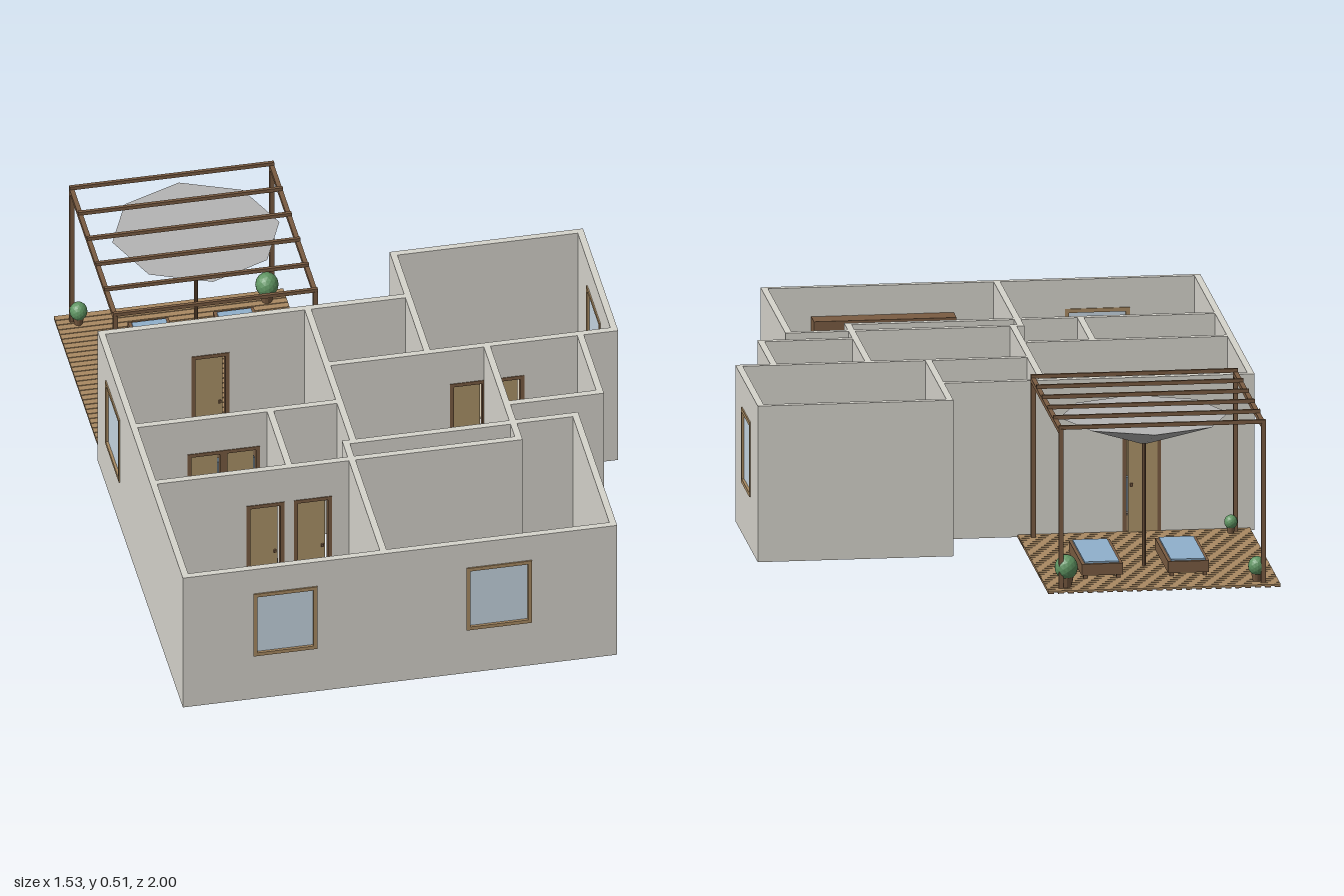
import * as THREE from 'three';

const H = 0.48, T = 0.02; // wall height and thickness
const DOOR_H = 0.345;

const mat = (color, side = THREE.FrontSide) =>
  new THREE.MeshStandardMaterial({ color, side, flatShading: true });
const M = {
  wall: mat(0xd6d4cc), wood: mat(0xb39573), tile: mat(0xb8b8b8), stone: mat(0xcfcabd),
  dark: mat(0x7a5c42), frame: mat(0xa88a62), door: mat(0xbda274), glass: mat(0xc6d6e2),
  white: mat(0xe4e4e4), grey: mat(0xcccccc), canopy: mat(0xb4b4b4), blue: mat(0x8fb0cc),
  rug: mat(0x9a9a9c), blanket: mat(0xd0c6b2), leaf: mat(0x5f9462), deck: mat(0xa98962),
};

function add(parent, name, geo, material, x = 0, y = 0, z = 0) {
  const m = new THREE.Mesh(geo, material);
  m.name = name;
  m.position.set(x, y, z);
  parent.add(m);
  return m;
}

// Box given by its minimum and maximum on each axis
function box(parent, name, material, x0, x1, y0, y1, z0, z1) {
  return add(parent, name, new THREE.BoxGeometry(x1 - x0, y1 - y0, z1 - z0), material,
    (x0 + x1) / 2, (y0 + y1) / 2, (z0 + z1) / 2);
}

function group(parent, name, x = 0, y = 0, z = 0) {
  const g = new THREE.Group();
  g.name = name;
  g.position.set(x, y, z);
  parent.add(g);
  return g;
}

// Wall along x or z, from a to b at the given centre line, with doors and windows [start, end]
function wall(parent, axis, at, a, b, doors = [], windows = []) {
  const g = group(parent, 'wall');
  // Along z the wall is drawn mirrored, then turned a quarter
  const s = axis === 'x' ? 1 : -1;
  const span = (p, q) => [Math.min(s * p, s * q), Math.max(s * p, s * q)];
  const [u0, u1] = span(a, b);
  const pts = [[u0, 0]];
  doors.map(d => span(...d)).sort((p, q) => p[0] - q[0]).forEach(([p, q]) =>
    pts.push([p, 0], [p, DOOR_H], [q, DOOR_H], [q, 0]));
  pts.push([u1, 0], [u1, H], [u0, H]);
  const shape = new THREE.Shape(pts.map(p => new THREE.Vector2(...p)));
  for (const w of windows) {
    const [p, q] = span(...w);
    shape.holes.push(new THREE.Path([[p, 0.16], [p, 0.39], [q, 0.39], [q, 0.16]]
      .map(v => new THREE.Vector2(...v))));
    const win = group(g, 'window');
    const f = 0.012, d = T / 2 + 0.004;
    box(win, 'windowPane', M.glass, p, q, 0.16, 0.39, -0.006, 0.006);
    box(win, 'windowSill', M.frame, p, q, 0.16, 0.16 + f, -d, d);
    box(win, 'windowHead', M.frame, p, q, 0.39 - f, 0.39, -d, d);
    box(win, 'windowJamb', M.frame, p, p + f, 0.16, 0.39, -d, d);
    box(win, 'windowJamb', M.frame, q - f, q, 0.16, 0.39, -d, d);
  }
  const geo = new THREE.ExtrudeGeometry(shape, { depth: T, bevelEnabled: false });
  geo.translate(0, 0, -T / 2);
  add(g, 'wallPanel', geo, M.wall);
  for (const d of doors) {
    const [p, q] = span(...d);
    const door = group(g, 'door');
    const k = T / 2 + 0.002;
    box(door, 'doorJamb', M.dark, p - 0.008, p + 0.004, 0, DOOR_H + 0.012, -k, k);
    box(door, 'doorJamb', M.dark, q - 0.004, q + 0.008, 0, DOOR_H + 0.012, -k, k);
    box(door, 'doorHead', M.dark, p - 0.008, q + 0.008, DOOR_H, DOOR_H + 0.012, -k, k);
    // Leaf standing ajar
    const leaf = group(door, 'doorLeaf', p + 0.004, 0, -T / 2);
    leaf.rotation.y = 0.2;
    box(leaf, 'leafPanel', M.door, 0, q - p - 0.008, 0.005, DOOR_H, -0.003, 0.003);
    box(leaf, 'handle', M.dark, q - p - 0.022, q - p - 0.014, 0.15, 0.16, -0.008, 0.008);
  }
  if (axis === 'x') g.position.z = at;
  else { g.rotation.y = Math.PI / 2; g.position.x = at; }
}

// Bed with its head towards +z, and two nightstands
function bed(parent, x, z) {
  const g = group(parent, 'bed', x, 0, z);
  box(g, 'bedFrame', M.dark, -0.142, 0.142, 0.005, 0.06, -0.172, 0.165);
  box(g, 'headboard', M.dark, -0.142, 0.142, 0.005, 0.15, 0.16, 0.173);
  box(g, 'mattress', M.white, -0.13, 0.13, 0.06, 0.09, -0.145, 0.16);
  box(g, 'blanket', M.blanket, -0.132, 0.132, 0.06, 0.095, -0.15, 0.05);
  for (const s of [-1, 1]) {
    box(g, 'pillow', M.white, s * 0.058 - 0.043, s * 0.058 + 0.043, 0.09, 0.105, 0.095, 0.115);
    box(g, 'nightstand', M.dark, s * 0.176 - 0.033, s * 0.176 + 0.033, 0.005, 0.08, 0.052, 0.12);
  }
}

function bathroom(parent, tx, tz, sx, sz) {
  const g = group(parent, 'toilet', tx, 0, tz);
  add(g, 'pedestal', new THREE.CylinderGeometry(0.028, 0.02, 0.05, 16), M.grey, 0, 0.03, 0);
  add(g, 'bowl', new THREE.CylinderGeometry(0.033, 0.028, 0.02, 20), M.grey, 0, 0.065, 0).scale.z = 1.15;
  box(g, 'tank', M.grey, -0.03, 0.03, 0.005, 0.11, 0.034, 0.056);
  const s = group(parent, 'washbasin', sx, 0, sz);
  box(s, 'basinCabinet', M.grey, -0.041, 0.041, 0.005, 0.12, -0.036, 0.036);
  add(s, 'tap', new THREE.CylinderGeometry(0.004, 0.004, 0.03, 8), M.rug, 0, 0.135, 0.015);
}

function plant(parent, x, z, r) {
  const g = group(parent, 'plant', x, 0.008, z);
  add(g, 'pot', new THREE.CylinderGeometry(r * 0.65, r * 0.45, r, 12), M.dark, 0, r / 2, 0);
  add(g, 'foliage', new THREE.IcosahedronGeometry(r, 2), M.leaf, 0, r * 1.75, 0).scale.y = 1.1;
}

export function createModel() {
  const root = new THREE.Group();
  root.name = 'house';

  // Floors: material, x0, x1, z0, z1
  const floors = group(root, 'floors');
  [[M.wood, -0.755, -0.127, -0.265, 0.215], [M.wood, -0.127, 0.18, -0.265, 0.025],
   [M.wood, 0.18, 0.75, -0.48, 0.025], [M.wood, -0.127, 0.36, 0.025, 0.42],
   [M.tile, 0.36, 0.645, 0.025, 0.325], [M.tile, -0.755, -0.34, 0.215, 0.505],
   [M.wood, -0.755, -0.15, 0.505, 0.985], [M.stone, -0.15, 0.55, 0.42, 0.985],
  ].forEach(([m, x0, x1, z0, z1]) => box(floors, 'floor', m, x0, x1, 0, 0.006, z0, z1));

  // Walls: axis, centre line, start, end, doors, windows
  const walls = group(root, 'walls');
  [['x', -0.265, -0.765, 0.18, [[-0.475, -0.375]]],
   ['x', 0.215, -0.765, -0.12, [[-0.585, -0.49], [-0.475, -0.38]]],
   ['x', 0.505, -0.765, -0.145, [[-0.465, -0.365], [-0.32, -0.22]]],
   ['x', 0.985, -0.765, 0.56, [], [[-0.55, -0.355], [0.1, 0.3]]],
   ['x', 0.422, -0.16, 0.56, [[-0.05, 0.05]]],
   ['x', 0.505, -0.145, 0.37],
   ['x', 0.025, -0.135, 0.76, [[0.255, 0.35], [0.37, 0.465]]],
   ['x', 0.325, 0.35, 0.655, [[0.468, 0.57]]],
   ['x', -0.48, 0.17, 0.76],
   ['z', -0.755, -0.275, 0.995, [], [[-0.145, 0.06]]],
   ['z', -0.127, -0.275, 0.42],
   ['z', 0.18, -0.49, 0.03],
   ['z', 0.75, -0.49, 0.035, [], [[-0.325, -0.13]]],
   ['z', 0.36, 0.02, 0.515],
   ['z', 0.645, 0.02, 0.335],
   ['z', -0.34, 0.21, 0.51],
   ['z', -0.15, 0.412, 0.995],
   ['z', 0.55, 0.412, 0.995],
  ].forEach(w => wall(walls, ...w));

  // Furniture
  bed(root, -0.458, 0.792);
  bed(root, 0.463, -0.183);
  bathroom(root, -0.69, 0.42, -0.41, 0.44);
  bathroom(root, 0.43, 0.24, 0.58, 0.26);

  const sofa = group(root, 'sofa', -0.495, 0, 0);
  box(sofa, 'rug', M.rug, -0.187, 0.187, 0.005, 0.01, -0.065, 0.09);
  box(sofa, 'sofaBase', M.blue, -0.16, 0.16, 0.015, 0.05, -0.058, 0.055);
  box(sofa, 'sofaBack', M.blue, -0.16, 0.16, 0.05, 0.12, -0.058, -0.035);
  for (const s of [-1, 1])
    box(sofa, 'armrest', M.blue, s * 0.152 - 0.01, s * 0.152 + 0.01, 0.015, 0.08, -0.058, 0.055);
  for (let i = -1; i <= 1; i++)
    box(sofa, 'seatCushion', M.blue, i * 0.095 - 0.045, i * 0.095 + 0.045, 0.05, 0.063, -0.033, 0.052);

  const kitchen = group(root, 'kitchen');
  box(kitchen, 'counter', M.white, -0.06, 0.455, 0.005, 0.14, 0.865, 0.97);
  box(kitchen, 'sink', M.rug, 0.155, 0.24, 0.135, 0.143, 0.885, 0.93);
  box(kitchen, 'wallCabinet', M.dark, -0.02, 0.41, 0.265, 0.39, 0.91, 0.975);

  // Terrace deck: planks along x over joists along z
  const terrace = group(root, 'terrace');
  for (let i = 0; i < 30; i++)
    box(terrace, 'deckPlank', M.deck, -0.75, -0.05, 0.004, 0.009, -1 + i * 0.024, -0.979 + i * 0.024);
  for (let i = 0; i < 24; i++)
    box(terrace, 'deckJoist', M.dark, -0.75 + i * 0.0297, -0.733 + i * 0.0297, 0, 0.004, -1, -0.28);

  // Pergola
  const pergola = group(root, 'pergola');
  for (const x of [-0.702, -0.092]) {
    for (const z of [-0.967, -0.318])
      box(pergola, 'post', M.dark, x - 0.007, x + 0.007, 0.008, 0.487, z - 0.007, z + 0.007);
    box(pergola, 'beam', M.dark, x - 0.007, x + 0.007, 0.485, 0.499, -0.974, -0.311);
  }
  for (let i = 0; i < 6; i++) {
    const z = -0.967 + i * 0.13;
    box(pergola, 'rafter', M.dark, -0.709, -0.085, 0.497, 0.509, z - 0.005, z + 0.005);
  }

  // Parasol opening upwards
  const parasol = group(root, 'parasol', -0.375, 0, -0.715);
  add(parasol, 'pole', new THREE.CylinderGeometry(0.006, 0.006, 0.39, 10), M.dark, 0, 0.2, 0);
  add(parasol, 'canopy', new THREE.CylinderGeometry(0.255, 0.02, 0.083, 8), M.canopy, 0, 0.43, 0);

  // Sun loungers
  for (const x of [-0.49, -0.23]) {
    const g = group(root, 'sunLounger', x, 0, -0.713);
    box(g, 'loungerBase', M.dark, -0.062, 0.062, 0.02, 0.055, -0.152, 0.152);
    box(g, 'loungerCushion', M.blue, -0.052, 0.052, 0.05, 0.06, -0.142, 0.142);
    for (const sx of [-1, 1]) for (const sz of [-1, 1])
      add(g, 'loungerFoot', new THREE.BoxGeometry(0.012, 0.014, 0.012), M.dark, sx * 0.05, 0.014, sz * 0.14);
  }

  plant(root, -0.685, -0.95, 0.027);
  plant(root, -0.11, -0.95, 0.035);
  plant(root, -0.685, -0.34, 0.02);
  plant(root, -0.675, -0.185, 0.047);
  return root;
}
